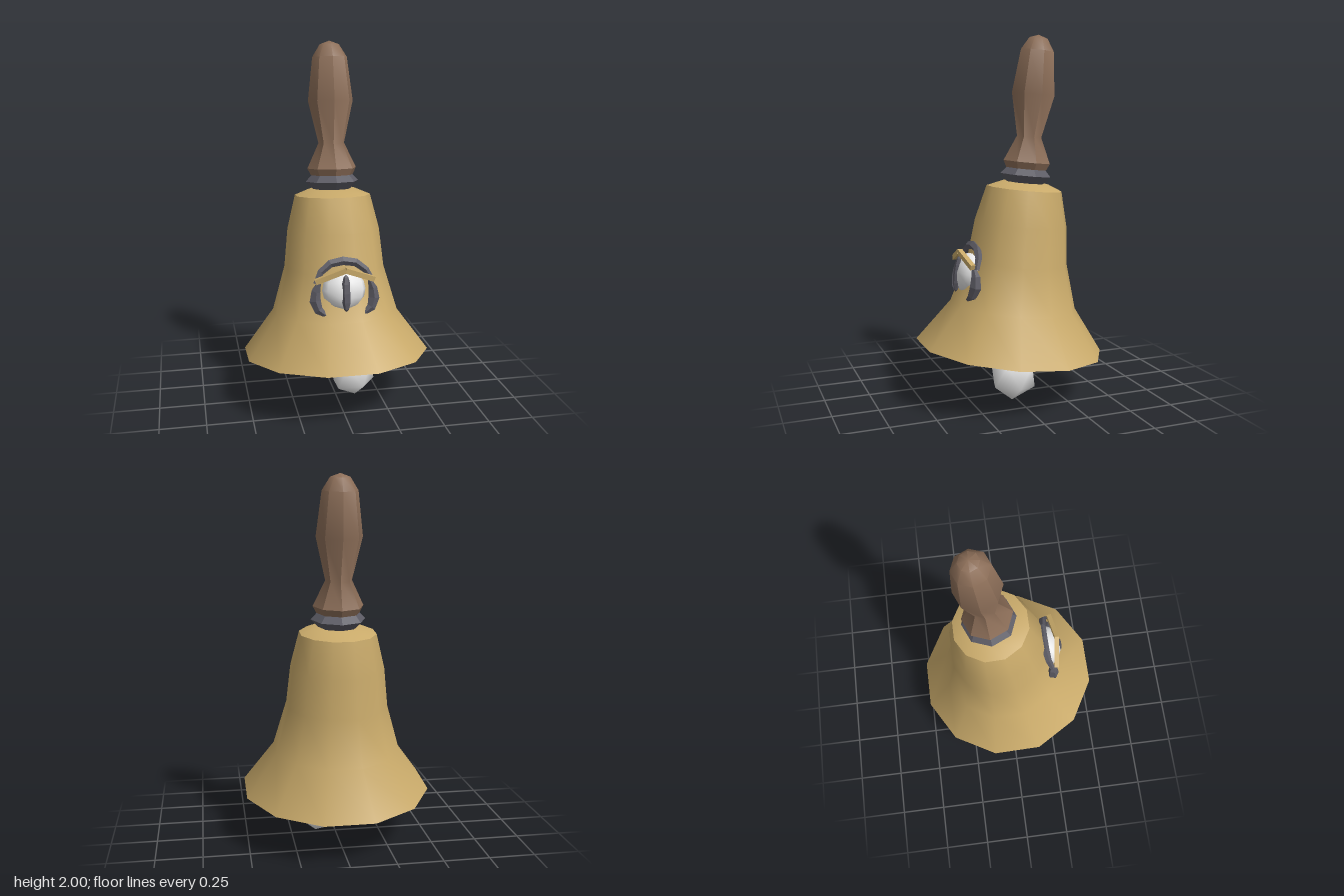
import * as THREE from 'three';
import { toCreasedNormals, mergeVertices } from 'three/addons/utils/BufferGeometryUtils.js';

const material = (name, color, flatShading = false) =>
  Object.assign(new THREE.MeshStandardMaterial({ color, flatShading }), { name });

export function createModel() {
  const brass = material('brass', 0xc9aa6a);
  const wood = material('wood', 0x8c6e58);
  const iron = material('iron', 0x5c5b64, true);
  const white = material('white', 0xe6e6e6);

  const model = new THREE.Group();
  model.name = 'handBell';

  const add = (parent, name, geometry, mat) => {
    const mesh = new THREE.Mesh(geometry, mat);
    mesh.name = name;
    parent.add(mesh);
    return mesh;
  };
  const lathe = (profile, sides, start = 0) => toCreasedNormals(
    new THREE.LatheGeometry(profile.map(([r, y]) => new THREE.Vector2(r, y)), sides, start), 0.7);

  // Bell, collar and handle share an axis that leans backwards
  const body = new THREE.Group();
  body.name = 'tiltedBody';
  body.position.y = 0.285;
  body.rotation.x = -0.1;
  model.add(body);

  const outer = [[0.523, 0], [0.352, 0.232], [0.28, 0.482], [0.257, 0.695], [0.21, 0.885]];
  const inner = outer.map(([r, y]) => [r - 0.02, y]).reverse();
  add(body, 'bell', lathe([[0, 0.885], ...inner, ...outer, [0.13, 0.918], [0, 0.918]], 12, Math.PI / 12), brass);

  add(body, 'collar', lathe([[0, 0.915], [0.105, 0.917], [0.148, 0.96], [0.112, 0.998], [0, 0.998]], 8), iron);

  add(body, 'handle', lathe([[0, 0.995], [0.118, 0.995], [0.137, 1.032], [0.072, 1.17], [0.125, 1.4],
    [0.096, 1.635], [0.053, 1.703], [0, 1.722]], 8), wood);

  // Clapper: ball with a rod swinging from inside the bell
  const ballCentre = new THREE.Vector3(0.093, 0.138, 0.014);
  const pivot = new THREE.Vector3(0, 0.87, -0.055);
  const swing = pivot.clone().sub(ballCentre);
  const clapper = new THREE.Group();
  clapper.name = 'clapper';
  clapper.position.copy(ballCentre);
  clapper.quaternion.setFromUnitVectors(new THREE.Vector3(0, 1, 0), swing.clone().normalize());
  model.add(clapper);

  let ball = new THREE.IcosahedronGeometry(0.138, 0);
  ball.deleteAttribute('normal');
  ball.deleteAttribute('uv');
  ball = mergeVertices(ball);
  ball.rotateZ(Math.atan(2 / (1 + Math.sqrt(5)))); // stand it on a corner
  ball.computeVertexNormals();
  add(clapper, 'clapperBall', ball, white);

  const rod = add(clapper, 'clapperRod', new THREE.CylinderGeometry(0.032, 0.032, swing.length(), 6), iron);
  rod.position.y = swing.length() / 2;

  // Eye on the front of the bell
  const eye = new THREE.Group();
  eye.name = 'eye';
  model.add(eye);

  const eyeball = add(eye, 'eyeball', new THREE.SphereGeometry(1, 10, 8), white);
  eyeball.scale.set(0.118, 0.108, 0.075);
  eyeball.position.set(0, 0.715, 0.24);
  eyeball.rotation.x = -0.2;

  const pupil = add(eye, 'pupil', new THREE.SphereGeometry(1, 6, 6), iron);
  pupil.scale.set(0.026, 0.1, 0.022);
  pupil.position.set(0, 0.713, 0.303);
  pupil.rotation.x = -0.12;

  // Curved bar that narrows towards both ends
  const bar = (name, points, radius, endScale, mat, segments) => {
    const curve = new THREE.CatmullRomCurve3(points.map((p) => new THREE.Vector3(...p)));
    const geometry = new THREE.TubeGeometry(curve, segments, radius, 5);
    const pos = geometry.attributes.position;
    const v = new THREE.Vector3();
    for (let i = 0; i < pos.count; i++) {
      const t = Math.floor(i / 6) / segments;
      const centre = curve.getPointAt(t);
      const k = endScale + (1 - endScale) * Math.sin(Math.PI * t);
      v.fromBufferAttribute(pos, i).sub(centre).multiplyScalar(k).add(centre);
      pos.setXYZ(i, v.x, v.y, v.z);
    }
    geometry.computeVertexNormals();
    return add(eye, name, geometry, mat);
  };

  bar('upperLid', [[-0.155, 0.755, 0.245], [-0.13, 0.805, 0.225], [-0.06, 0.857, 0.21],
    [0.06, 0.857, 0.21], [0.13, 0.805, 0.225], [0.155, 0.755, 0.245]], 0.024, 0.6, iron, 6);
  for (const s of [-1, 1]) {
    bar(s > 0 ? 'leftLid' : 'rightLid', [[s * 0.135, 0.77, 0.255], [s * 0.16, 0.69, 0.25],
      [s * 0.145, 0.62, 0.265], [s * 0.1, 0.585, 0.28]], 0.032, 0.3, iron, 4);
  }

  // Brass brow: a shallow chevron bent forward in the middle
  for (const s of [-1, 1]) {
    const from = new THREE.Vector3(0, 0.835, 0.288);
    const to = new THREE.Vector3(s * 0.155, 0.775, 0.268);
    const along = to.clone().sub(from);
    const half = add(eye, s > 0 ? 'leftBrow' : 'rightBrow',
      new THREE.BoxGeometry(along.length() + 0.006, 0.028, 0.026), brass);
    half.position.copy(from).add(to).multiplyScalar(0.5);
    half.quaternion.setFromUnitVectors(new THREE.Vector3(s, 0, 0), along.normalize());
  }

  return model;
}
